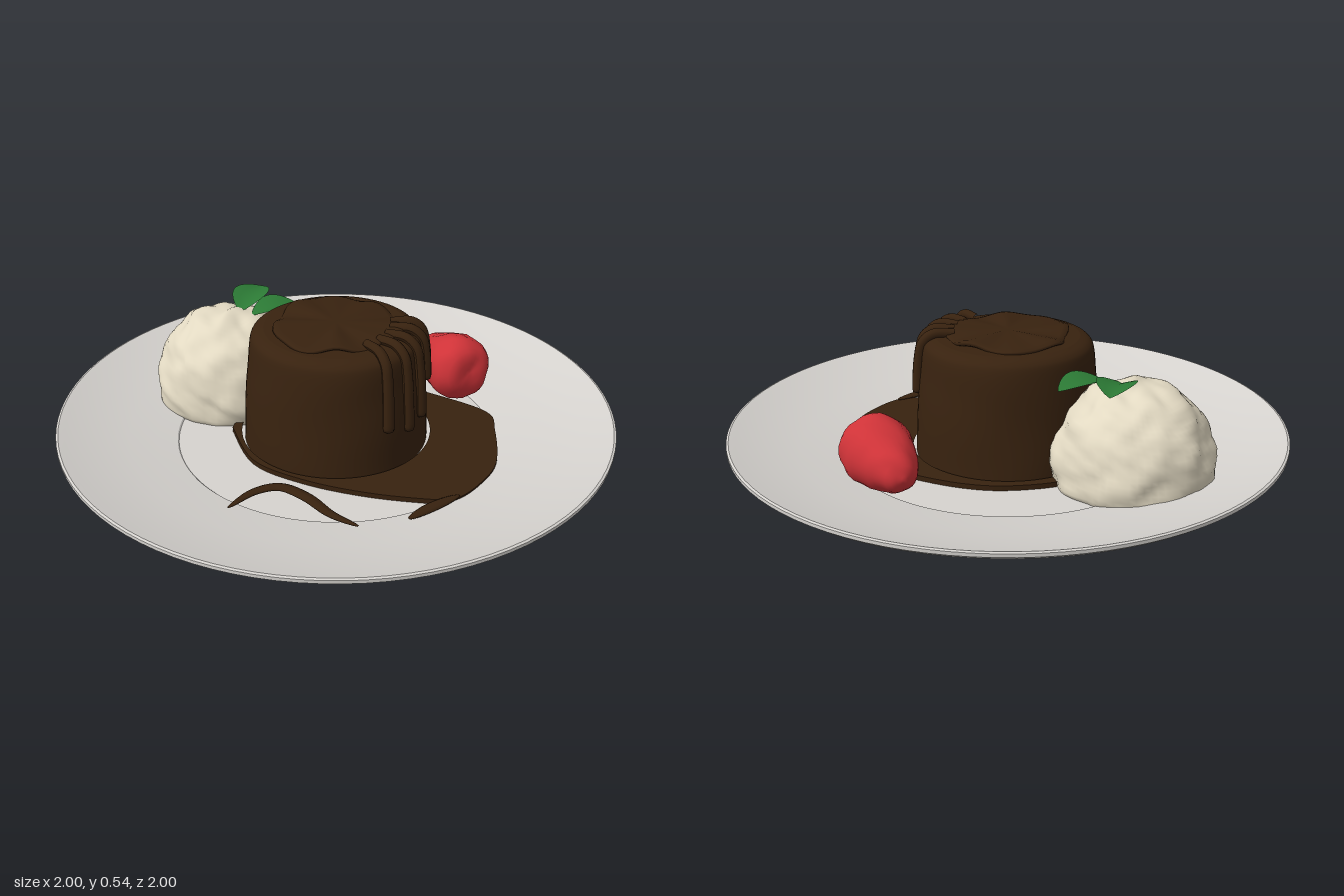
import * as THREE from 'three';
import { mergeVertices, toCreasedNormals } from 'three/addons/utils/BufferGeometryUtils.js';

const mat = (name, color, side = THREE.FrontSide) => {
  const m = new THREE.MeshStandardMaterial({ color, side });
  m.name = name;
  return m;
};
const v2 = (list) => list.map(([x, y]) => new THREE.Vector2(x, y));
const v3 = (list) => list.map((p) => new THREE.Vector3(...p));

// Move every vertex by a rule, then rebuild seamless smooth normals
function warp(geometry, rule) {
  geometry.deleteAttribute('uv');
  geometry.deleteAttribute('normal');
  const g = mergeVertices(geometry, 1e-4);
  const pos = g.attributes.position, p = new THREE.Vector3();
  for (let i = 0; i < pos.count; i++) {
    rule(p.fromBufferAttribute(pos, i));
    pos.setXYZ(i, p.x, p.y, p.z);
  }
  g.computeVertexNormals();
  return g;
}

// Soft lumps made from crossing waves
const lumps = (p, f) =>
  Math.sin(p.x * f + 2 * Math.sin(p.y * f * 0.7)) * Math.sin(p.y * f * 1.1 + 1.3) +
  Math.sin(p.z * f * 0.9 + 1.7 * Math.sin(p.x * f * 0.8)) * Math.cos(p.y * f * 0.8 + p.x * f * 0.4);

// Tube whose radius follows a rule along its length
function taperedTube(points, radius, profile, flatten = 1) {
  const curve = new THREE.CatmullRomCurve3(v3(points));
  const steps = 32, sides = 10;
  const g = new THREE.TubeGeometry(curve, steps, radius, sides);
  const pos = g.attributes.position, p = new THREE.Vector3();
  for (let i = 0; i < pos.count; i++) {
    const t = Math.floor(i / (sides + 1)) / steps;
    const c = curve.getPointAt(t);
    p.fromBufferAttribute(pos, i).sub(c).multiplyScalar(profile(t));
    pos.setXYZ(i, c.x + p.x, c.y + p.y * flatten, c.z + p.z);
  }
  g.computeVertexNormals();
  return g;
}

export function createModel() {
  const model = new THREE.Group();
  model.name = 'platedDessert';
  const china = mat('china', 0xd6d3cf);
  const chocolate = mat('chocolate', 0x38220f);
  const cream = mat('cream', 0xe2d9c2);
  const berry = mat('berryRed', 0xcf3338);
  const green = mat('leafGreen', 0x2c7a35, THREE.DoubleSide);
  const add = (name, geometry, material, parent = model) => {
    const m = new THREE.Mesh(geometry, material);
    m.name = name;
    parent.add(m);
    return m;
  };

  // Plate with a foot, a wide sloping rim and a flat well
  const plateProfile = v2([
    [0, 0.006], [0.46, 0.006], [0.465, 0], [0.49, 0], [0.515, 0.01], [0.57, 0.045], [0.62, 0.062],
    [0.75, 0.088], [0.86, 0.115], [0.94, 0.138], [0.98, 0.155], [1, 0.17], [1, 0.182], [0.992, 0.185],
    [0.97, 0.178], [0.88, 0.148], [0.75, 0.118], [0.65, 0.098], [0.58, 0.085], [0.575, 0.08], [0, 0.08],
  ]);
  add('plate', toCreasedNormals(new THREE.LatheGeometry(plateProfile, 96), 0.6), china);

  // Pool of sauce around the cake
  const pool = new THREE.Shape();
  const outline = v2([
    [-0.38, 0.02], [-0.33, -0.2], [-0.2, -0.335], [0, -0.38], [0.17, -0.355], [0.36, -0.265], [0.56, -0.135],
    [0.583, 0], [0.57, 0.22], [0.5, 0.36], [0.42, 0.445], [0.34, 0.455], [0.12, 0.425], [-0.1, 0.355], [-0.28, 0.24],
  ]).map((p) => new THREE.Vector2(p.x, -p.y));
  pool.setFromPoints(new THREE.SplineCurve([...outline, outline[0]]).getPoints(90));
  const gap = new THREE.Path();
  gap.absarc(0, 0, 0.345, 0, Math.PI * 2, true);
  pool.holes.push(gap);
  const poolGeo = new THREE.ExtrudeGeometry(pool, { depth: 0.02, bevelEnabled: false, curveSegments: 48 });
  add('saucePool', poolGeo.rotateX(-Math.PI / 2).translate(0, 0.078, 0), chocolate);

  // Drizzled streaks of sauce
  const streaks = [
    [[-0.33, 0.11, 0.55], [-0.25, 0.112, 0.455], [-0.17, 0.112, 0.425], [-0.08, 0.11, 0.475], [0.01, 0.112, 0.575], [0.1, 0.115, 0.64]],
    [[0.43, 0.1, 0.43], [0.33, 0.102, 0.51], [0.26, 0.106, 0.58]],
    [[-0.64, 0.096, 0.6], [-0.54, 0.094, 0.67], [-0.39, 0.092, 0.73]],
    [[0.77, 0.098, 0.31], [0.82, 0.1, 0.15], [0.79, 0.098, -0.04]],
  ];
  for (const s of streaks) {
    add('sauceStreak', taperedTube(s, 0.022, (t) => 0.15 + 0.85 * Math.sin(Math.PI * t) ** 0.6, 0.4), chocolate);
  }

  // Cake, slightly uneven
  const cakeProfile = new THREE.SplineCurve(v2([
    [0.335, 0.08], [0.328, 0.2], [0.316, 0.35], [0.303, 0.46], [0.285, 0.495], [0.25, 0.51],
  ])).getPoints(30);
  const cakeGeo = new THREE.LatheGeometry([...cakeProfile, ...v2([[0.12, 0.513], [0, 0.513]])], 64);
  add('cake', warp(cakeGeo, (p) => {
    const k = 1 + 0.008 * lumps(p, 11);
    p.x *= k;
    p.z *= k;
  }), chocolate);

  // Wavy glaze on top
  const glazeProfile = v2([[0, 0.505], [0.21, 0.505], [0.222, 0.512], [0.22, 0.521], [0.2, 0.526], [0.1, 0.527], [0, 0.527]]);
  add('glaze', warp(new THREE.LatheGeometry(glazeProfile, 64), (p) => {
    const a = Math.atan2(p.z, p.x), r = Math.hypot(p.x, p.z) / 0.22;
    const k = 1 + 0.05 * Math.sin(3 * a + 1) + 0.03 * Math.sin(7 * a);
    p.x *= k;
    p.z *= k;
    p.y += r * (0.006 * Math.sin(5 * a) + 0.004 * Math.sin(8 * a + 2));
  }), chocolate);

  // Drips running down the side: [angle, lowest point]
  const drips = [[0.95, 0.235], [0.66, 0.205], [0.4, 0.22], [0.13, 0.325], [-0.1, 0.3]];
  for (const [angle, low] of drips) {
    const edge = 0.337 - 0.075 * (low - 0.1);
    const path = [[0.19, 0.52, 0], [0.265, 0.52, 0], [0.302, 0.49, 0], [0.316, 0.43, 0], [edge, low + 0.03, 0], [edge, low, 0]];
    const g = taperedTube(path, 0.021, (t) => t > 0.95 ? Math.sqrt(Math.max(0, 1 - ((t - 0.95) / 0.05) ** 2)) : 0.8 + 0.25 * t);
    add('glazeDrip', g, chocolate).rotation.y = -angle;
  }

  // Scoop of cream, flattened where it rests on the plate
  const scoop = warp(new THREE.SphereGeometry(0.28, 72, 48), (p) => {
    p.multiplyScalar(1 + 0.022 * lumps(p, 26) + 0.012 * lumps(p, 55));
    p.y = Math.max(p.y, -0.07);
  });
  add('creamScoop', scoop, cream).position.set(-0.42, 0.152, -0.285);

  // Strawberry lying on its side, pointed end to the back
  const berryProfile = new THREE.SplineCurve(v2([
    [0, -0.185], [0.05, -0.165], [0.09, -0.09], [0.122, 0.02], [0.118, 0.09], [0.075, 0.135], [0, 0.14],
  ])).getPoints(20).map((p) => new THREE.Vector2(Math.max(0, p.x), p.y));
  const berryGeo = warp(new THREE.LatheGeometry(berryProfile, 28), (p) => {
    p.multiplyScalar(1 + 0.025 * lumps(p, 48));
  });
  const strawberry = add('strawberry', berryGeo, berry);
  strawberry.position.set(0.43, 0.197, -0.345);
  strawberry.quaternion.setFromUnitVectors(
    new THREE.Vector3(0, 1, 0), new THREE.Vector3(0.45, 0.08, 0.85).normalize());

  // Folded mint leaves on the scoop: start, direction, length, rise
  const leaves = [
    { at: [-0.375, 0.425, -0.28], turn: 1.25, length: 0.21, rise: 0.1 },
    { at: [-0.33, 0.42, -0.26], turn: 0.5, length: 0.2, rise: 0.02 },
  ];
  for (const { at, turn, length, rise } of leaves) {
    const g = new THREE.PlaneGeometry(1, 2, 16, 4).rotateX(-Math.PI / 2);
    const leaf = add('mintLeaf', warp(g, (p) => {
      const u = p.x + 0.5, v = p.z;
      const width = 0.068 * Math.sin(Math.PI * u) ** 0.75;
      p.set(u * length, Math.abs(v) * width * 0.3 + 0.015 * Math.sin(Math.PI * u), v * (width || 0));
    }), green);
    leaf.position.set(...at);
    leaf.rotation.set(0, turn, rise);
  }
  return model;
}
